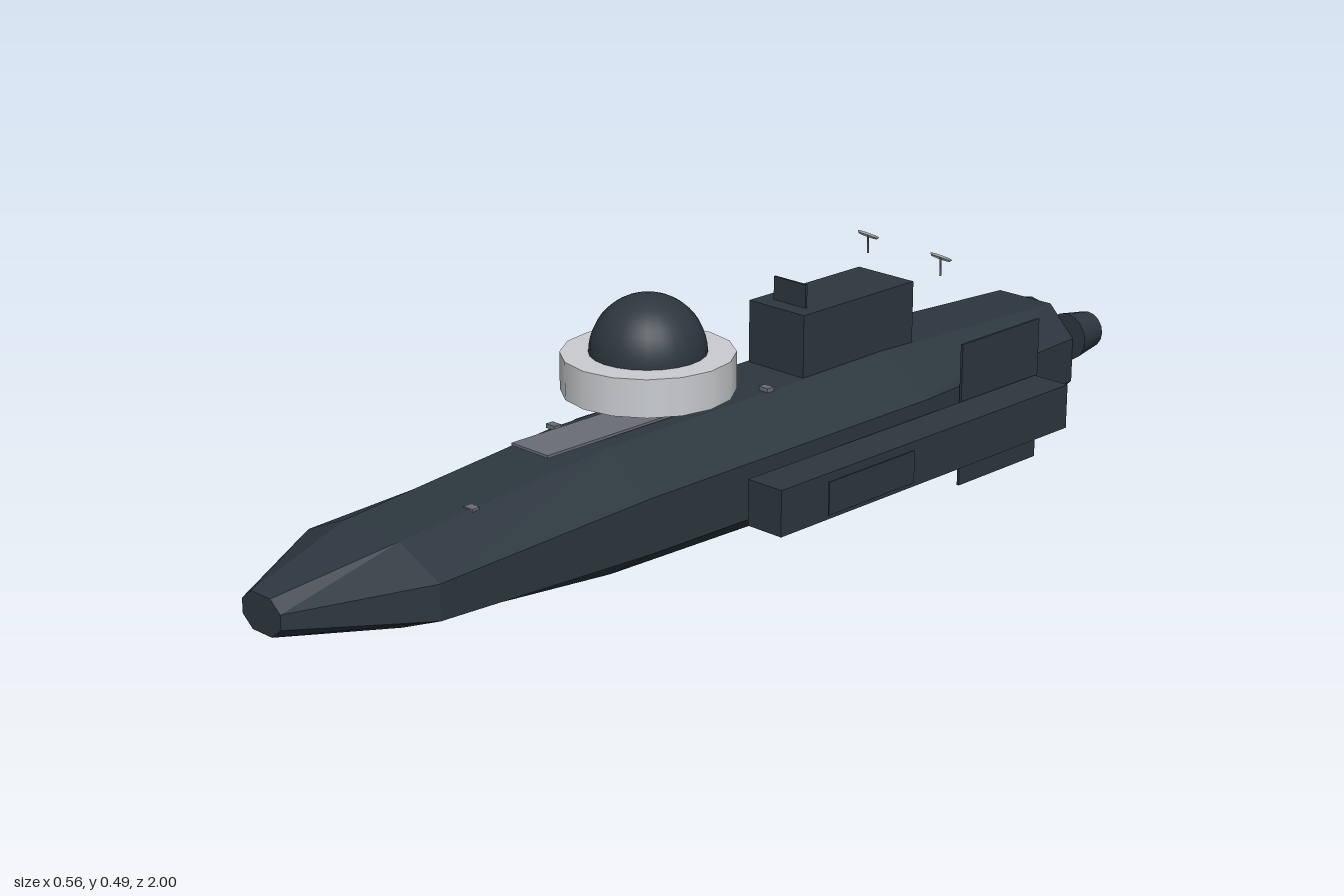
import * as THREE from 'three';

const mat = (name, color, extra = {}) => {
  const m = new THREE.MeshStandardMaterial({ color, ...extra });
  m.name = name;
  return m;
};

// Eight-sided hull lofted through stations, front to back
function hullGeometry() {
  // z, half width, deck half width, bottom, low chine, high chine, top
  const stations = [
    [1.0, 0.05, 0.025, 0.11, 0.13, 0.157, 0.177],
    [0.77, 0.17, 0.07, 0.07, 0.112, 0.177, 0.222],
    [0.3, 0.172, 0.072, 0.027, 0.092, 0.195, 0.264],
    [-0.42, 0.18, 0.075, 0.013, 0.088, 0.2, 0.272],
    [-0.93, 0.125, 0.065, 0.043, 0.1, 0.19, 0.25],
  ];
  const rings = stations.map(([z, w, t, bot, lo, hi, top]) =>
    [[w, lo], [w, hi], [t, top], [-t, top], [-w, hi], [-w, lo], [-t, bot], [t, bot]]
      .map(([x, y]) => [x, y, z]));
  const pos = [];
  const tri = (a, b, c) => pos.push(...a, ...b, ...c);
  for (let s = 0; s < rings.length - 1; s++) {
    const f = rings[s], r = rings[s + 1];
    for (let i = 0; i < 8; i++) {
      const j = (i + 1) % 8;
      tri(f[i], r[i], r[j]);
      tri(f[i], r[j], f[j]);
    }
  }
  const nose = rings[0], tail = rings[rings.length - 1];
  for (let i = 1; i < 7; i++) {
    tri(nose[0], nose[i], nose[i + 1]);
    tri(tail[0], tail[i + 1], tail[i]);
  }
  const g = new THREE.BufferGeometry();
  g.setAttribute('position', new THREE.Float32BufferAttribute(pos, 3));
  g.computeVertexNormals();
  return g;
}

export function createModel() {
  const root = new THREE.Group();
  root.name = 'spaceship';
  const dark = mat('hull slate', 0x2d373f);
  const light = mat('ring light grey', 0xcacdd0);
  const grey = mat('plate grey', 0x6b6d77);
  const glow = mat('engine cyan', 0x76b8ca);
  const dishMat = mat('dish white', 0xdcdedd, { side: THREE.DoubleSide });

  const add = (name, geo, material, x = 0, y = 0, z = 0, parent = root) => {
    const m = new THREE.Mesh(geo, material);
    m.name = name;
    m.position.set(x, y, z);
    parent.add(m);
    return m;
  };
  // Box given by its min and max corners
  const box = (name, material, [x0, y0, z0], [x1, y1, z1]) =>
    add(name, new THREE.BoxGeometry(x1 - x0, y1 - y0, z1 - z0), material,
      (x0 + x1) / 2, (y0 + y1) / 2, (z0 + z1) / 2);

  add('hull', hullGeometry(), dark);

  // Command tower with its small upright plate
  box('tower', dark, [-0.069, 0.2, -0.5], [0.069, 0.39, -0.195]);
  box('towerPlate', dark, [-0.04, 0.39, -0.235], [0.04, 0.435, -0.23]);

  // Floating ring and dome over the deck
  add('domeRing', new THREE.CylinderGeometry(0.157, 0.157, 0.07, 16), light, 0, 0.348, 0.135);
  add('dome', new THREE.SphereGeometry(0.106, 24, 12, 0, Math.PI * 2, 0, Math.PI / 2),
    dark, 0, 0.383, 0.135);

  // Deck walkway and small fittings
  box('deckPlate', grey, [-0.046, 0.268, 0.05], [0.046, 0.273, 0.42]);
  for (const [x, y, z] of [[0.066, 0.234, 0.61], [0.066, 0.272, -0.1], [-0.07, 0.267, 0.3]])
    add('deckFitting', new THREE.BoxGeometry(0.022, 0.008, 0.016), grey, x, y, z);

  // Side pods, their outer plates and the tall fins
  for (const s of [1, -1]) {
    const side = s > 0 ? 'left' : 'right';
    add(side + 'Pod', new THREE.BoxGeometry(0.081, 0.088, 0.805), dark, s * 0.2245, 0.129, -0.3325);
    add(side + 'PodPlate', new THREE.BoxGeometry(0.003, 0.063, 0.23), dark, s * 0.277, 0.131, -0.155);
    add(side + 'Fin', new THREE.BoxGeometry(0.005, 0.284, 0.23), dark, s * 0.176, 0.142, -0.635);
  }

  // Staggered engines with glowing rear faces
  for (const [x, y] of [[0.108, 0.19], [-0.036, 0.19], [0.036, 0.105], [-0.108, 0.105]]) {
    const engine = new THREE.Group();
    engine.name = 'engine';
    engine.position.set(x, y, -0.964);
    root.add(engine);
    add('engineBell', new THREE.CylinderGeometry(0.048, 0.037, 0.07, 16), dark, 0, 0, 0, engine)
      .rotation.x = Math.PI / 2;
    add('engineGlow', new THREE.CircleGeometry(0.035, 16), glow, 0, 0, -0.036, engine)
      .rotation.y = Math.PI;
  }

  // Tilted dish antennas on short stems
  for (const [x, z] of [[-0.102, -0.562], [0.098, -0.544]]) {
    const antenna = new THREE.Group();
    antenna.name = 'antenna';
    antenna.position.set(x, 0.434, z);
    root.add(antenna);
    add('antennaStem', new THREE.CylinderGeometry(0.002, 0.002, 0.036, 6), grey, 0, -0.018, 0, antenna);
    add('antennaDish', new THREE.CylinderGeometry(0.022, 0.019, 0.004, 16), dishMat, 0, 0, 0, antenna)
      .rotation.x = -0.5;
  }
  return root;
}
